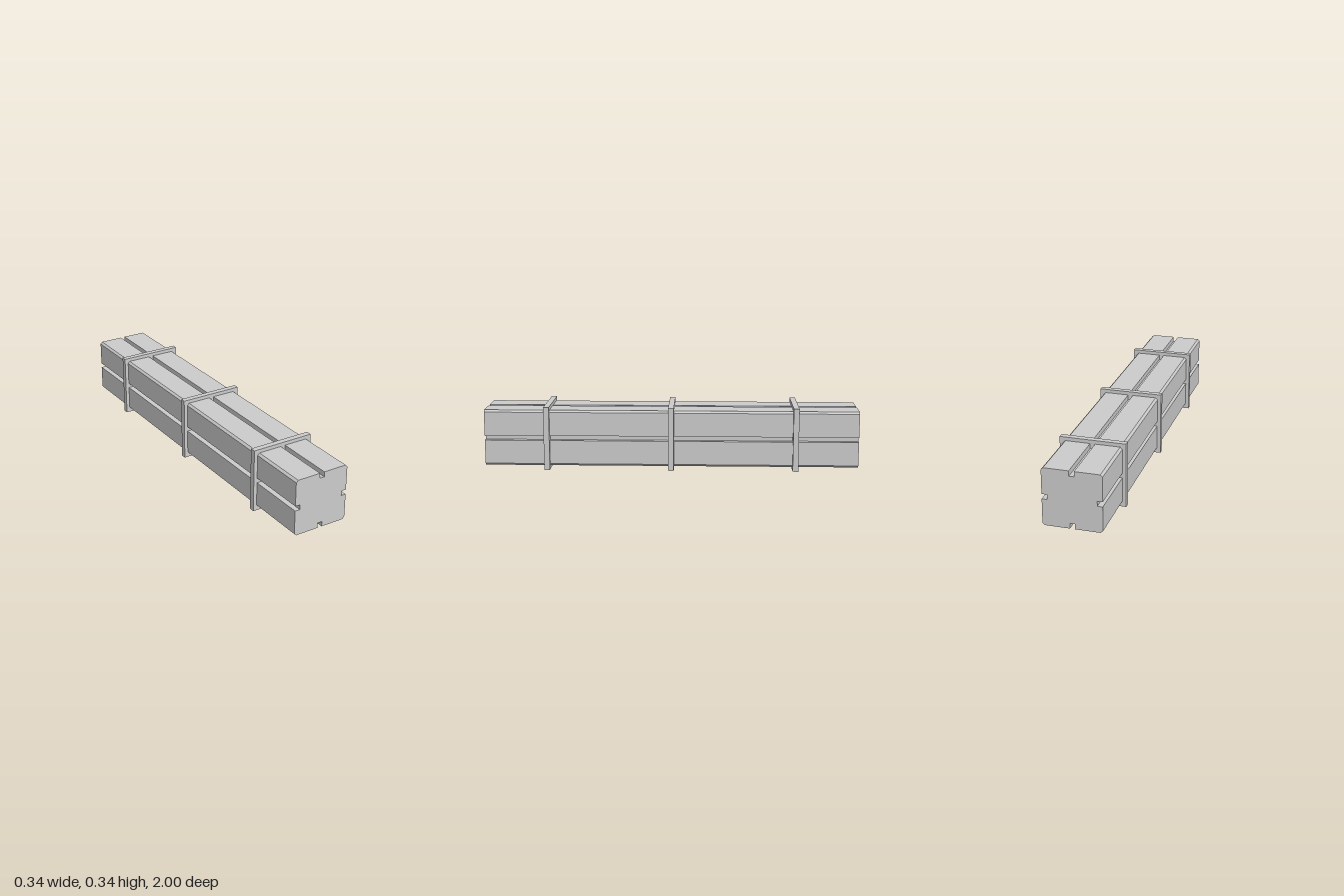
import * as THREE from 'three';

const CENTRE_Y = 0.17;   // height of the beam axis
const HALF = 0.151;      // half width of the beam
const CHAMFER = 0.011;
const GROOVE_HALF = 0.013;
const GROOVE_DEPTH = 0.027;
const COLLAR = 0.34;
const COLLAR_DEPTH = 0.03;

// Square section with chamfered corners and a groove in the middle of each side
function beamSection() {
  const inner = HALF - GROOVE_DEPTH;
  const side = [
    [HALF, -HALF + CHAMFER],
    [HALF, -GROOVE_HALF],
    [inner, -GROOVE_HALF],
    [inner, GROOVE_HALF],
    [HALF, GROOVE_HALF],
    [HALF, HALF - CHAMFER],
  ];
  const points = [];
  for (let i = 0; i < 4; i++) {
    for (const [x, y] of side) {
      points.push(new THREE.Vector2(x, y).rotateAround(new THREE.Vector2(), i * Math.PI / 2));
    }
  }
  return new THREE.Shape(points);
}

export function createModel() {
  const model = new THREE.Group();
  model.name = 'groovedBeam';
  const material = new THREE.MeshStandardMaterial({ color: 0xcccccc, flatShading: true });

  // Long grooved beam along z
  const beamGeometry = new THREE.ExtrudeGeometry(beamSection(), { depth: 2, bevelEnabled: false });
  beamGeometry.translate(0, 0, -1);
  const beam = new THREE.Mesh(beamGeometry, material);
  beam.name = 'beam';
  beam.position.y = CENTRE_Y;
  model.add(beam);

  // Three square collars
  const collarGeometry = new THREE.BoxGeometry(COLLAR, COLLAR, COLLAR_DEPTH);
  ['backCollar', 'middleCollar', 'frontCollar'].forEach((name, i) => {
    const collar = new THREE.Mesh(collarGeometry, material);
    collar.name = name;
    collar.position.set(0, CENTRE_Y, (i - 1) * 0.665);
    model.add(collar);
  });

  return model;
}
